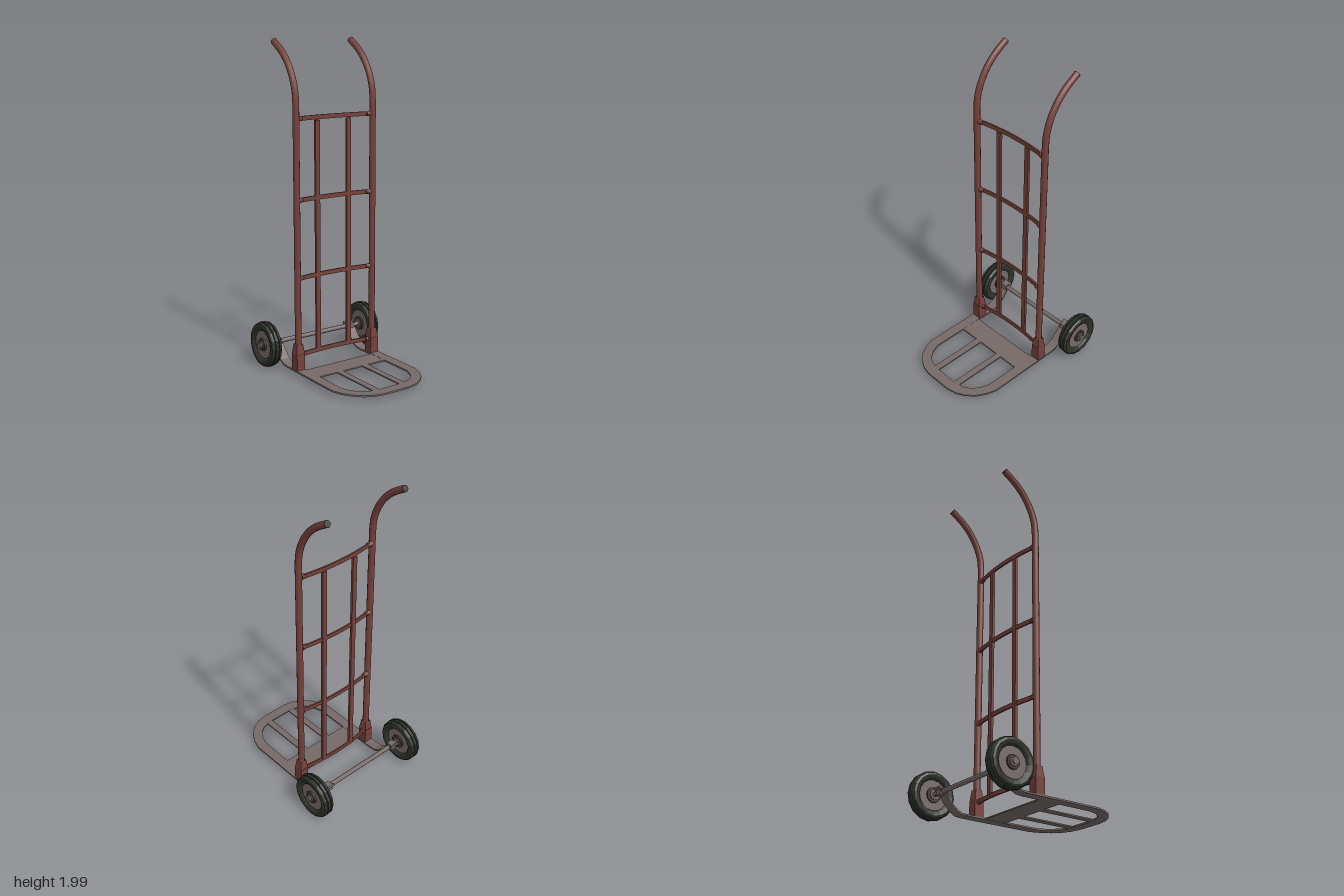
import * as THREE from 'three';

const paint = new THREE.MeshStandardMaterial({ color: 0x74403a, side: THREE.DoubleSide });
paint.name = 'red brown paint';
const steel = new THREE.MeshStandardMaterial({ color: 0x766a67, side: THREE.DoubleSide });
steel.name = 'dull steel';
const rubber = new THREE.MeshStandardMaterial({ color: 0x2f322b, flatShading: true });
rubber.name = 'tyre rubber';
const dark = new THREE.MeshStandardMaterial({ color: 0x3d3836 });
dark.name = 'dark metal';

const CX = -0.011; // middle of the frame
const RAIL = 0.274; // rail distance from the middle

function add(parent, name, geometry, material, x = 0, y = 0, z = 0) {
  const mesh = new THREE.Mesh(geometry, material);
  mesh.name = name;
  mesh.position.set(x, y, z);
  parent.add(mesh);
  return mesh;
}

const shapeOf = (pts) => new THREE.Shape(pts.map(([a, b]) => new THREE.Vector2(a, b)));

// Outline in x and z, extruded downwards from y = 0
function slab(pts, height) {
  const g = new THREE.ExtrudeGeometry(shapeOf(pts), { depth: height, bevelEnabled: false });
  return g.rotateX(Math.PI / 2);
}

// Outline in z and y, extruded along x and centred
function sideProfile(pts, width) {
  const g = new THREE.ExtrudeGeometry(shapeOf(pts), { depth: width, bevelEnabled: false });
  return g.rotateY(-Math.PI / 2).translate(width / 2, 0, 0);
}

const mirrorX = (pts) => pts.map(([x, z]) => [-x, z]).reverse();

function buildNosePlate(frame) {
  // U-shaped rim with chamfered front corners
  const outer = [[0.305, -0.2], [0.305, 0.28], [0.285, 0.345], [0.25, 0.405], [0.2, 0.45], [0.15, 0.477], [0.085, 0.49]];
  const inner = [[0.241, -0.2], [0.241, 0.28], [0.222, 0.335], [0.19, 0.38], [0.15, 0.408], [0.085, 0.422]];
  const rim = [...outer, ...mirrorX(outer), ...mirrorX(inner).reverse(), ...inner.slice().reverse()];
  add(frame, 'plateRim', slab(rim, 0.01), steel, 0, 0.041, 0);
  add(frame, 'plateCrossPanel', new THREE.BoxGeometry(0.484, 0.008, 0.14), steel, 0, 0.036, -0.009);
  for (const s of [-1, 1]) {
    add(frame, 'plateStrap', new THREE.BoxGeometry(0.042, 0.008, 0.366), steel, s * 0.093, 0.036, 0.241);
    // Arm bending up from the plate to the axle
    const top = [[-0.19, 0.041], [-0.235, 0.044], [-0.27, 0.062], [-0.315, 0.105], [-0.348, 0.15], [-0.385, 0.172]];
    const under = top.map(([z, y]) => [z - 0.004, y - 0.01]).reverse();
    add(frame, 'axleArm', sideProfile([...top, ...under], 0.062), steel, s * RAIL);
    // Clamp holding the axle to the arm
    add(frame, 'axleClamp', new THREE.BoxGeometry(0.045, 0.04, 0.04), steel, s * RAIL, 0.148, -0.357);
  }
}

function buildRails(frame) {
  const path = new THREE.CurvePath();
  path.add(new THREE.LineCurve3(new THREE.Vector3(0, 0.04, -0.117), new THREE.Vector3(0, 1.62, -0.117)));
  path.add(new THREE.CatmullRomCurve3([
    [1.62, -0.117], [1.7, -0.124], [1.78, -0.15], [1.86, -0.198], [1.925, -0.262], [1.98, -0.345],
  ].map(([y, z]) => new THREE.Vector3(0, y, z))));
  for (const s of [-1, 1]) {
    const x = s * RAIL;
    add(frame, 'railAndHandle', new THREE.TubeGeometry(path, 64, 0.02, 10), paint, x);
    // Cap closing the handle
    const cap = add(frame, 'handleEnd', new THREE.CylinderGeometry(0.02, 0.02, 0.006, 10), dark, x, 1.98, -0.345);
    cap.rotation.x = -0.98;
    // Square foot socket with a tapered top
    add(frame, 'footSocket', new THREE.BoxGeometry(0.056, 0.1, 0.06), paint, x, 0.09, -0.117);
    const taper = new THREE.CylinderGeometry(0.029, 0.0395, 0.06, 4, 1, true).toNonIndexed().rotateY(Math.PI / 4);
    taper.computeVertexNormals();
    add(frame, 'socketTaper', taper, paint, x, 0.17, -0.117);
  }
}

function buildBars(frame) {
  // Thin crossbars bowed backwards
  const bow = (x) => -0.122 - 0.024 * (1 - (x / 0.262) ** 2);
  const xs = Array.from({ length: 13 }, (_, i) => -0.262 + (i * 0.524) / 12);
  const outline = [...xs.map((x) => [x, bow(x) - 0.005]), ...xs.slice().reverse().map((x) => [x, bow(x) + 0.005])];
  for (const y of [0.125, 0.6, 1.07, 1.547]) {
    add(frame, 'crossbar', slab(outline, 0.026), paint, 0, y + 0.013, 0);
    // Flared weld at each end
    for (const s of [-1, 1]) {
      const weld = new THREE.CylinderGeometry(0.012, 0.018, 0.03, 8).rotateZ(s * Math.PI / 2);
      add(frame, 'crossbarWeld', weld, paint, s * 0.246, y, -0.122);
    }
  }
  // Two upright slats
  for (const s of [-1, 1]) {
    add(frame, 'uprightSlat', new THREE.BoxGeometry(0.03, 1.4, 0.016), paint, s * 0.113, 0.83, -0.143);
  }
}

function buildWheel(side) {
  const wheel = new THREE.Group();
  wheel.name = side > 0 ? 'leftWheel' : 'rightWheel';
  // Grooved tyre
  const profile = [
    [0.086, -0.02], [0.1, -0.033], [0.118, -0.038], [0.131, -0.034], [0.138, -0.024],
    [0.139, -0.016], [0.127, -0.014], [0.127, -0.011], [0.14, -0.009], [0.14, 0.009],
    [0.127, 0.011], [0.127, 0.014], [0.139, 0.016], [0.138, 0.024], [0.131, 0.034],
    [0.118, 0.038], [0.1, 0.033], [0.086, 0.02], [0.086, -0.02],
  ].map(([r, a]) => new THREE.Vector2(r, a));
  const turn = (g) => g.rotateZ(-side * Math.PI / 2);
  add(wheel, 'tyre', turn(new THREE.LatheGeometry(profile, 16)), rubber);
  add(wheel, 'rimDisc', turn(new THREE.CylinderGeometry(0.09, 0.09, 0.044, 16)), steel);
  add(wheel, 'hubRing', turn(new THREE.CylinderGeometry(0.04, 0.045, 0.064, 12)), dark);
  add(wheel, 'hubCap', turn(new THREE.CylinderGeometry(0.026, 0.028, 0.076, 8)), steel);
  add(wheel, 'axleNut', turn(new THREE.CylinderGeometry(0.022, 0.014, 0.016, 6)), steel, side * 0.046);
  wheel.position.set(side * 0.366, 0.147, -0.357);
  return wheel;
}

export function createModel() {
  const model = new THREE.Group();
  model.name = 'handTruck';

  const frame = new THREE.Group();
  frame.name = 'frame';
  frame.position.x = CX;
  model.add(frame);
  buildNosePlate(frame);
  buildRails(frame);
  buildBars(frame);

  // Axle and wheels
  add(model, 'axle', new THREE.CylinderGeometry(0.014, 0.014, 0.84, 10).rotateZ(Math.PI / 2), steel, 0, 0.147, -0.357);
  for (const side of [-1, 1]) model.add(buildWheel(side));
  return model;
}
